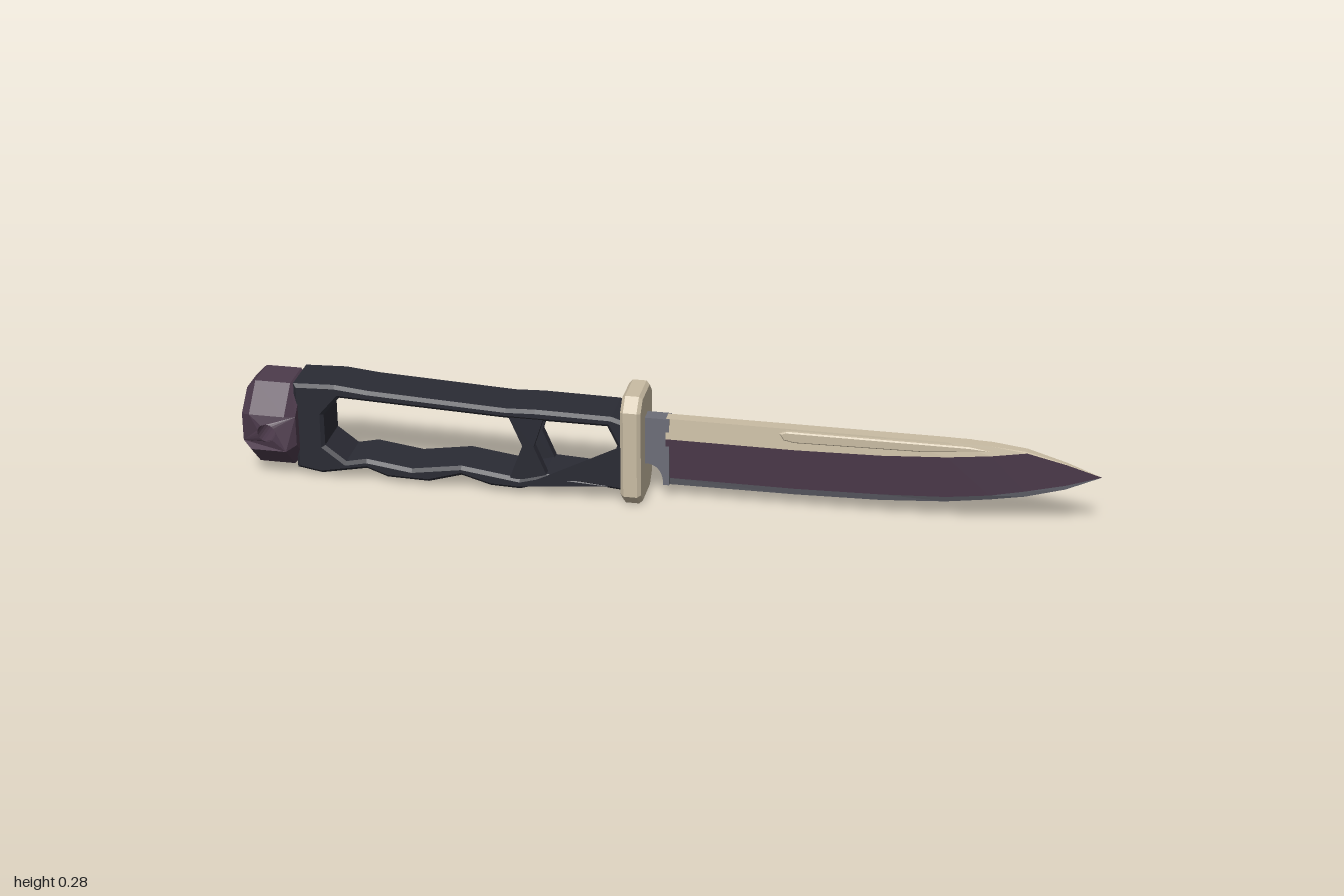
import * as THREE from 'three';

const mat = (name, color, extra = {}) =>
  Object.assign(new THREE.MeshStandardMaterial({ color, flatShading: true, ...extra }), { name });

const shapeOf = (pts) => new THREE.Shape(pts.map(([x, y]) => new THREE.Vector2(x, y)));

// Extrude an outline symmetrically about z = 0, keeping its outer size
function slab(shape, half, bevel = 0, steps = 1) {
  const g = new THREE.ExtrudeGeometry(shape, {
    depth: 2 * (half - bevel), steps, curveSegments: 10, bevelEnabled: bevel > 0,
    bevelThickness: bevel, bevelSize: bevel, bevelOffset: -bevel, bevelSegments: 1,
  });
  return g.translate(0, 0, bevel - half);
}

// Faceted strip between two rows of points
function strip(a, b, flip) {
  const pos = [];
  for (let i = 0; i < a.length - 1; i++) {
    const t1 = [a[i], b[i], b[i + 1]], t2 = [a[i], b[i + 1], a[i + 1]];
    for (const t of [t1, t2]) pos.push(...(flip ? t.reverse() : t).flat());
  }
  const g = new THREE.BufferGeometry();
  g.setAttribute('position', new THREE.Float32BufferAttribute(pos, 3));
  g.computeVertexNormals();
  return g;
}

export function createModel() {
  const root = new THREE.Group();
  root.name = 'knife';
  const beige = mat('beige', 0xc9bca3);
  const plum = mat('plum', 0x4d3b4c);
  const dark = mat('charcoal', 0x2a2b34);
  const steel = mat('steel', 0x6d6e78);
  const gold = mat('gold', 0xb08d57);
  const bronze = mat('bronze', 0x6e5434);
  const add = (name, geo, material, parent = root) => {
    const m = new THREE.Mesh(geo, material);
    m.name = name;
    parent.add(m);
    return m;
  };

  // Blade: stations along x with heights and half thicknesses of each row
  const xs = [0, 0.3, 0.5, 0.65, 0.75, 0.83, 0.92, 1];
  const thin = [1, 1, 1, 1, 0.88, 0.62, 0.32, 0];
  const rows = {
    spine: [0.014, [0.21, 0.21, 0.21, 0.21, 0.208, 0.2, 0.175, 0.147]],
    shoulder: [0.02, [0.16, 0.16, 0.165, 0.175, 0.186, 0.198, 0.174, 0.147]],
    grind: [0.009, [0.055, 0.055, 0.06, 0.068, 0.081, 0.098, 0.12, 0.147]],
    edge: [0, [0.034, 0.036, 0.041, 0.052, 0.067, 0.082, 0.109, 0.147]],
  };
  const row = (key, s) => xs.map((x, i) => [x, rows[key][1][i], s * rows[key][0] * thin[i]]);
  const blade = new THREE.Group();
  blade.name = 'blade';
  root.add(blade);
  for (const s of [1, -1]) {
    add('bladeUpperFace', strip(row('spine', s), row('shoulder', s), s < 0), beige, blade);
    add('bladeMiddleFace', strip(row('shoulder', s), row('grind', s), s < 0), plum, blade);
    add('bladeCuttingEdge', strip(row('grind', s), row('edge', s), s < 0), steel, blade);
  }
  add('bladeSpine', strip(row('spine', -1), row('spine', 1)), beige, blade);

  // Raised bar beside the spine on both faces
  add('spineBar', slab(shapeOf([[0.265, 0.2], [0.275, 0.184], [0.3, 0.179], [0.6, 0.184],
    [0.75, 0.2], [0.7, 0.206], [0.28, 0.206]]), 0.024, 0.003), beige, blade);

  // Blade root with a curved finger notch
  const rootShape = new THREE.Shape();
  rootShape.moveTo(-0.06, 0.21);
  rootShape.lineTo(-0.06, 0.092);
  rootShape.lineTo(-0.04, 0.092);
  rootShape.quadraticCurveTo(-0.006, 0.086, -0.006, 0.04);
  rootShape.lineTo(0.008, 0.04);
  rootShape.lineTo(0.008, 0.21);
  add('bladeRoot', slab(rootShape, 0.018), steel);

  // Guard: chamfered plate across the handle
  const guardShape = shapeOf([[-0.045, 0], [0.045, 0], [0.075, 0.03], [0.075, 0.245],
    [0.045, 0.275], [-0.045, 0.275], [-0.075, 0.245], [-0.075, 0.03]]);
  add('guard', slab(guardShape, 0.024, 0.008).rotateY(Math.PI / 2), beige).position.x = -0.073;

  // Open handle frame with finger grooves
  const frame = shapeOf([[-0.88, 0.022], [-0.82, 0.012], [-0.78, 0.02], [-0.71, 0.034],
    [-0.66, 0.016], [-0.56, 0.014], [-0.48, 0.038], [-0.41, 0.018], [-0.34, 0.016],
    [-0.27, 0.038], [-0.2, 0.045], [-0.09, 0.035], [-0.09, 0.212], [-0.12, 0.222],
    [-0.3, 0.224], [-0.37, 0.221], [-0.7, 0.236], [-0.78, 0.244], [-0.88, 0.24]]);
  frame.holes.push(shapeOf([[-0.81, 0.085], [-0.81, 0.165], [-0.77, 0.212], [-0.37, 0.197],
    [-0.13, 0.197], [-0.107, 0.15], [-0.135, 0.053], [-0.28, 0.06], [-0.34, 0.043],
    [-0.48, 0.062], [-0.6, 0.043], [-0.71, 0.058], [-0.76, 0.047]]));
  add('handleFrame', slab(frame, 0.06, 0.008), dark);

  // Hourglass struts on each side of the handle
  const strut = shapeOf([[-0.365, 0.04], [-0.27, 0.045], [-0.305, 0.128], [-0.28, 0.205],
    [-0.365, 0.205], [-0.332, 0.128]]);
  for (const s of [1, -1]) add('handleStrut', slab(strut, 0.01), dark).position.z = s * 0.045;

  // Octagonal pommel with a cord hole: outline pulled in towards each side
  const pommelShape = shapeOf([[-0.065, -0.08], [-0.04, -0.105], [0.045, -0.105], [0.065, -0.085],
    [0.065, 0.085], [0.045, 0.105], [-0.04, 0.105], [-0.065, 0.08]]);
  pommelShape.holes.push(new THREE.Path().absarc(0, 0, 0.022, 0, Math.PI * 2, true));
  const pommel = slab(pommelShape, 0.105, 0, 5);
  const p = pommel.attributes.position;
  for (let i = 0; i < p.count; i++) {
    const x = p.getX(i), y = p.getY(i), z = p.getZ(i), d = Math.abs(z);
    const outer = Math.abs(y) > 0.03;
    let nz = d > 0.05 && d < 0.08 ? Math.sign(z) * 0.0435 : z;
    if (outer && d > 0.1) p.setY(i, y * 0.43);
    if (outer && Math.abs(x) > 0.06) nz *= 0.78;
    p.setZ(i, nz);
  }
  pommel.computeVertexNormals();
  add('pommel', pommel, plum).position.set(-0.935, 0.13, 0);

  // Tilted round stud on the back of the blade
  const stud = new THREE.Group();
  stud.name = 'backStud';
  stud.position.set(0.14, 0.152, -0.029);
  stud.rotation.x = -Math.PI / 2 + 0.14;
  root.add(stud);
  add('studBody', new THREE.CylinderGeometry(0.046, 0.056, 0.026, 8).rotateY(Math.PI / 8), beige, stud);
  add('studFace', new THREE.CylinderGeometry(0.038, 0.038, 0.004, 16), gold, stud).position.y = 0.014;
  add('studRing', new THREE.TorusGeometry(0.026, 0.003, 4, 16).rotateX(Math.PI / 2), bronze, stud).position.y = 0.016;
  for (let i = 0; i < 8; i++) {
    const spoke = new THREE.BoxGeometry(0.018, 0.004, 0.005).translate(0.021, 0.016, 0);
    add('studSpoke', spoke.rotateY((i * Math.PI) / 4), bronze, stud);
  }
  return root;
}
